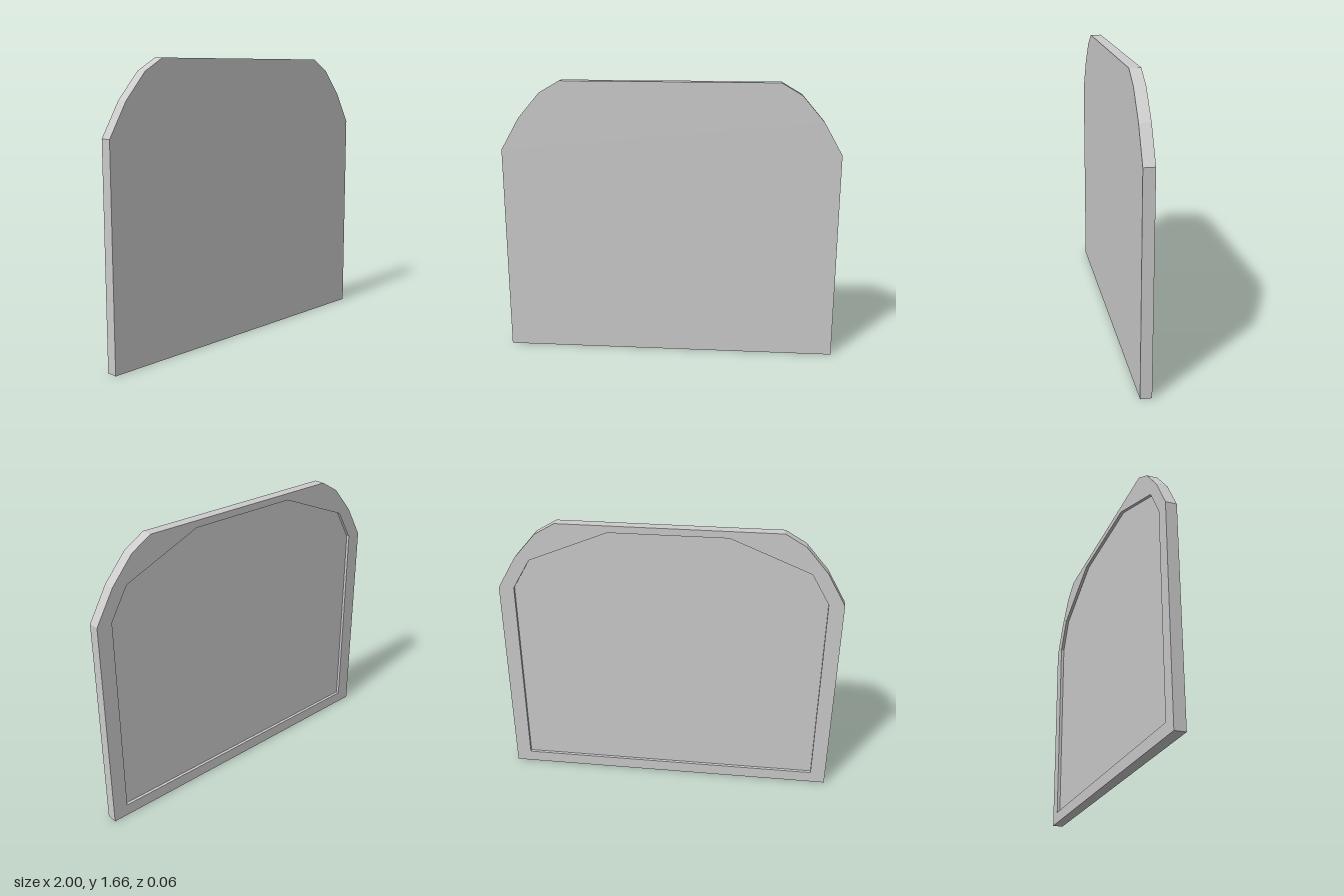
import * as THREE from 'three';

const HALF_DEPTH = 0.032; // half the slab thickness
const RECESS = 0.018;     // depth of the sunken back panel

// Mirror the right-hand half of an outline (bottom to top) into a closed loop
function mirrored(half) {
  const right = half.map(([x, y]) => new THREE.Vector2(x, y));
  const left = half.map(([x, y]) => new THREE.Vector2(-x, y)).reverse();
  return [...right, ...left];
}

function plate(name, shape, zBack, depth, material) {
  const geometry = new THREE.ExtrudeGeometry(shape, { depth, bevelEnabled: false });
  geometry.translate(0, 0, zBack);
  const mesh = new THREE.Mesh(geometry, material);
  mesh.name = name;
  return mesh;
}

export function createModel() {
  const group = new THREE.Group();
  group.name = 'archedPanel';
  const material = new THREE.MeshStandardMaterial({ color: 0xcccccc, flatShading: true });

  const outer = mirrored([[1, 0], [1, 1.25], [0.89, 1.44], [0.76, 1.59], [0.64, 1.66]]);
  const inner = mirrored([[0.91, 0.07], [0.91, 1.25], [0.805, 1.43], [0.34, 1.62]]);

  // Solid front slab
  group.add(plate('frontPanel', new THREE.Shape(outer),
    -HALF_DEPTH + RECESS, 2 * HALF_DEPTH - RECESS, material));

  // Raised rim around the recess on the back
  const rim = new THREE.Shape(outer);
  rim.holes.push(new THREE.Path(inner));
  group.add(plate('backRim', rim, -HALF_DEPTH, RECESS, material));

  return group;
}
